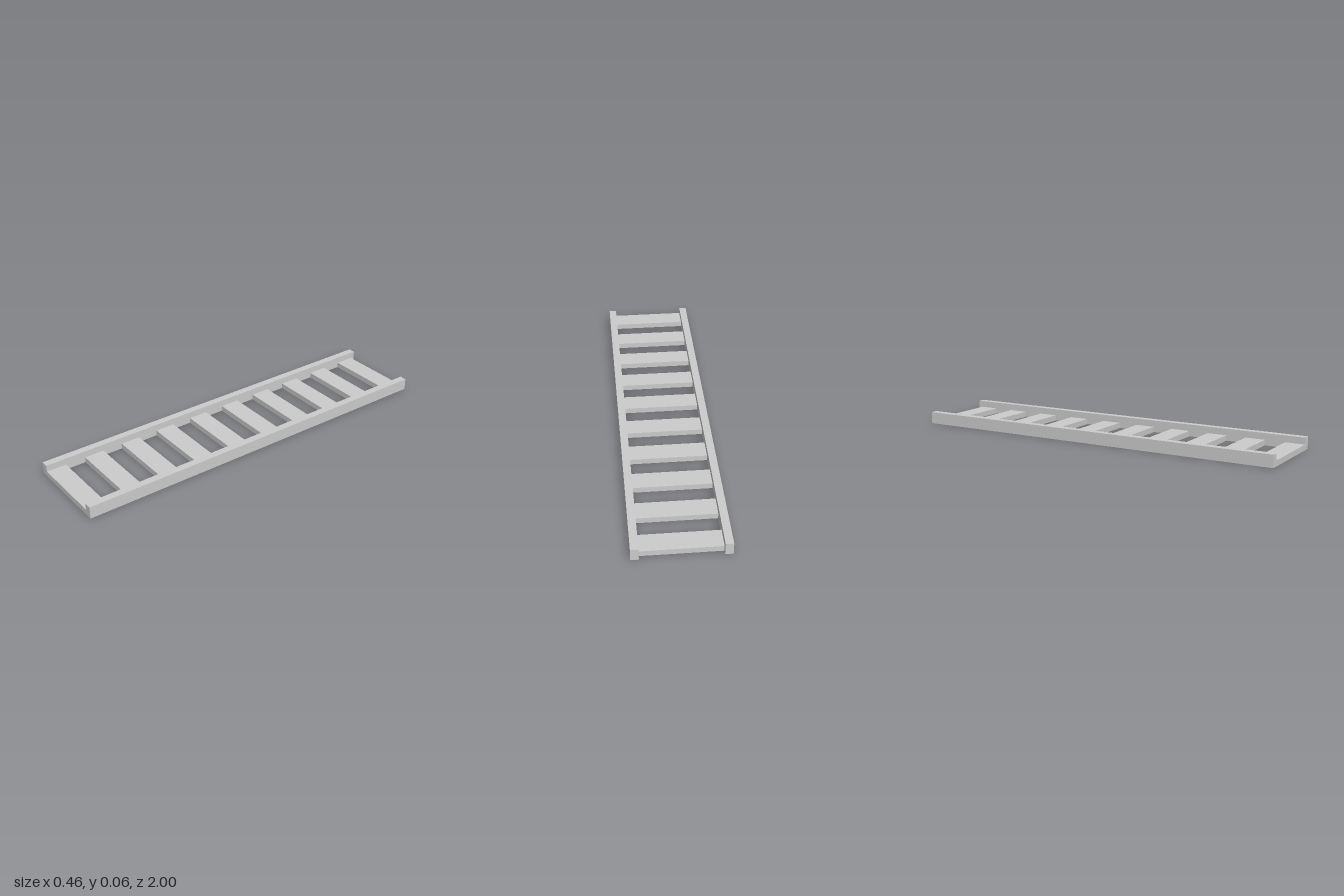
import * as THREE from 'three';

export function createModel() {
  const model = new THREE.Group();
  model.name = 'ladder';
  const material = new THREE.MeshStandardMaterial({ color: 0xcccccc, flatShading: true });

  const addBox = (name, size, position) => {
    const mesh = new THREE.Mesh(new THREE.BoxGeometry(...size), material);
    mesh.name = name;
    mesh.position.set(...position);
    model.add(mesh);
  };

  // Two long side rails
  const railInner = 0.191, railOuter = 0.229, railBottom = 0.001, railTop = 0.063;
  for (const side of [1, -1]) {
    addBox(
      side > 0 ? 'leftRail' : 'rightRail',
      [railOuter - railInner, railTop - railBottom, 2],
      [side * (railInner + railOuter) / 2, (railBottom + railTop) / 2, 0]
    );
  }

  // Ten flat rungs, the first flush with the front end of the rails
  const rungCount = 10, rungDepth = 0.103, rungHeight = 0.029, spacing = 0.2083;
  for (let i = 0; i < rungCount; i++) {
    addBox(
      `rung${i + 1}`,
      [railInner * 2, rungHeight, rungDepth],
      [0, rungHeight / 2, 1 - rungDepth / 2 - i * spacing]
    );
  }

  return model;
}
